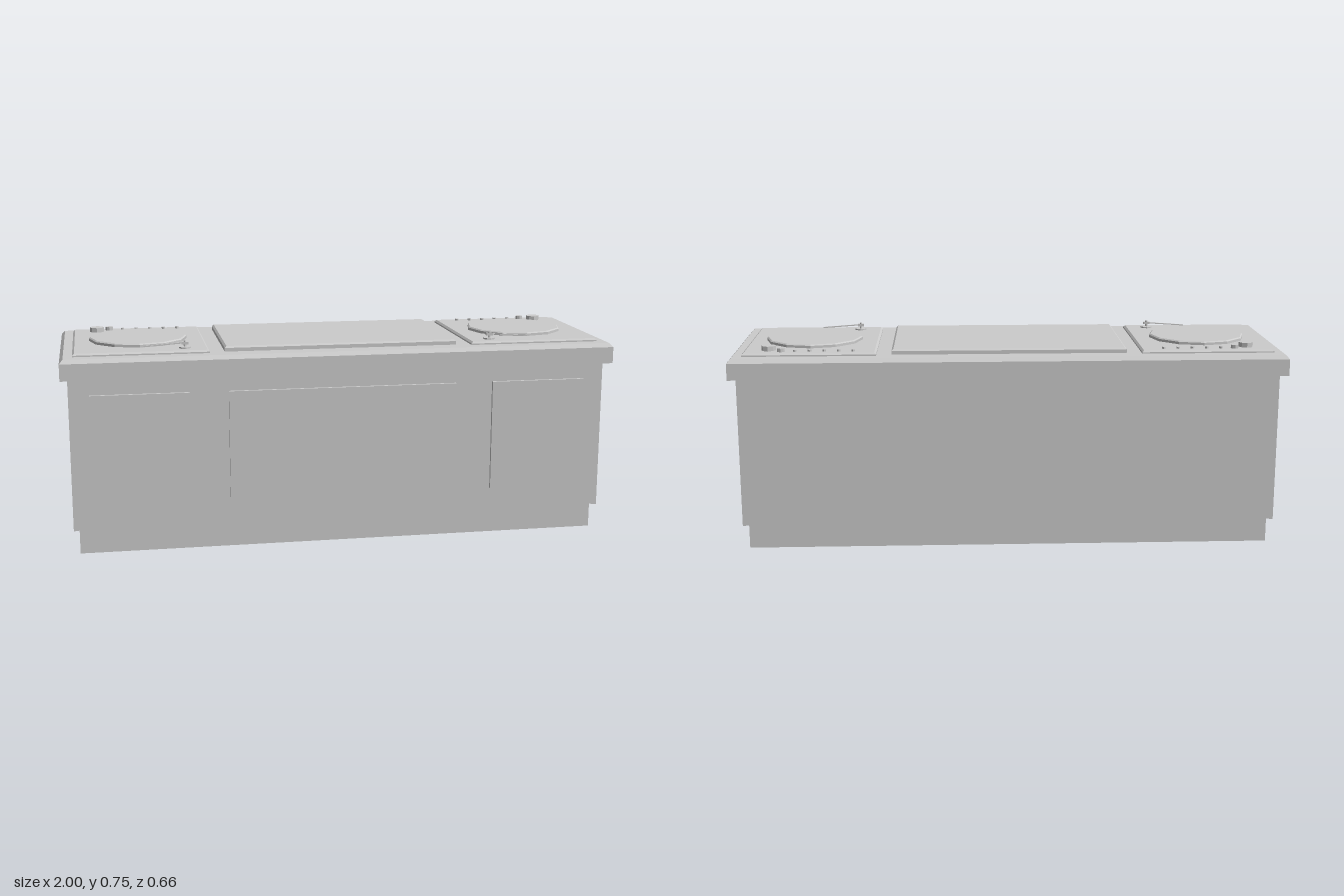
import * as THREE from 'three';

const grey = new THREE.MeshStandardMaterial({ color: 0xcccccc, flatShading: true });
const greySheet = new THREE.MeshStandardMaterial({ color: 0xcccccc, flatShading: true, side: THREE.DoubleSide });

// Skin between rings of [x, y, z] points, listed bottom to top, anticlockwise from above
function loft(rings, capped) {
  const n = rings[0].length;
  const index = [];
  for (let r = 0; r < rings.length - 1; r++) {
    for (let i = 0; i < n; i++) {
      const a = r * n + i, b = r * n + (i + 1) % n;
      index.push(a, b, b + n, a, b + n, a + n);
    }
  }
  if (capped) {
    const top = (rings.length - 1) * n;
    for (let i = 1; i < n - 1; i++) index.push(0, i + 1, i, top, top + i, top + i + 1);
  }
  const indexed = new THREE.BufferGeometry();
  indexed.setAttribute('position', new THREE.Float32BufferAttribute(rings.flat(2), 3));
  indexed.setIndex(index);
  const geometry = indexed.toNonIndexed();
  geometry.computeVertexNormals();
  return geometry;
}

const rectRing = (hx, hz, y) => [[hx, y, hz], [hx, y, -hz], [-hx, y, -hz], [-hx, y, hz]];

// Rectangular slab with a chamfered top edge
function slab(hx, hz, y0, y1, chamfer, drop) {
  return loft([
    rectRing(hx, hz, y0),
    rectRing(hx, hz, y1 - drop),
    rectRing(hx - chamfer, hz - chamfer, y1),
  ], true);
}

function add(parent, name, geometry, x = 0, y = 0, z = 0, material = grey) {
  const mesh = new THREE.Mesh(geometry, material);
  mesh.name = name;
  mesh.position.set(x, y, z);
  parent.add(mesh);
  return mesh;
}

// Upright cylinder standing on height y0
function disc(parent, name, r, y0, y1, x, z, sides, rTop = r) {
  return add(parent, name, new THREE.CylinderGeometry(rTop, r, y1 - y0, sides), x, (y0 + y1) / 2, z);
}

// Hollow body with a zigzag lower edge, stepping in to a recessed plinth
function cabinetGeometry() {
  const frontEdge = [[-1, 0.09], [-0.49, 0.145], [0, 0.08], [0.49, 0.145], [1, 0.09]];
  const backEdge = [[1, 0.09], [0.49, 0.15], [0, 0.045], [-0.49, 0.15], [-1, 0.09]];
  const ring = (hx, hz, height) => [
    ...frontEdge.map(([u, y]) => [u * hx, height ?? y, hz]),
    ...backEdge.map(([u, y]) => [u * hx, height ?? y, -hz]),
  ];
  return loft([
    ring(0.955, 0.272, 0),
    ring(0.955, 0.272),
    ring(0.975, 0.292),
    ring(0.975, 0.292, 0.645),
  ], false);
}

// One turntable, laid out for the +x side; side = -1 mirrors it
function turntable(side) {
  const group = new THREE.Group();
  group.name = side > 0 ? 'leftTurntable' : 'rightTurntable';
  const deckY = 0.725;

  const deck = add(group, 'deck', slab(0.239, 0.272, 0.71, deckY, 0.007, 0.006));
  deck.position.x = side * 0.716;

  // Twelve-sided platter with a narrow bevel
  const px = side * 0.718;
  disc(group, 'platter', 0.178, 0.72, 0.734, px, 0, 12);
  disc(group, 'platterBevel', 0.178, 0.734, 0.738, px, 0, 12, 0.173);

  // Tonearm: round base, post, head and a thin arm
  const ax = side * 0.56, az = 0.213;
  disc(group, 'armBase', 0.022, 0.722, 0.73, ax, az, 10);
  disc(group, 'armPost', 0.005, 0.728, 0.752, ax, az, 6);
  add(group, 'armHead', new THREE.BoxGeometry(0.024, 0.009, 0.013), ax, 0.743, az);
  const arm = add(group, 'arm', new THREE.BoxGeometry(0.152, 0.004, 0.005), side * 0.63, 0.739, az);
  arm.rotation.z = -side * 0.07;

  // Knobs and the row of buttons along the back
  disc(group, 'largeKnob', 0.026, 0.722, 0.742, side * 0.865, -0.205, 8);
  disc(group, 'smallKnob', 0.014, 0.722, 0.738, side * 0.818, -0.235, 8);
  for (let i = 0; i < 5; i++) {
    disc(group, 'button', 0.007, 0.722, 0.732, side * (0.768 - i * 0.052), -0.235, 6);
  }
  return group;
}

export function createModel() {
  const model = new THREE.Group();
  model.name = 'djBooth';

  add(model, 'cabinet', cabinetGeometry(), 0, 0, 0, greySheet);
  add(model, 'countertop', slab(1, 0.328, 0.64, 0.714, 0.013, 0.014));
  add(model, 'centreConsole', slab(0.423, 0.253, 0.71, 0.733, 0.007, 0.006));

  // Raised panels on the front
  add(model, 'centrePanel', new THREE.BoxGeometry(0.83, 0.39, 0.014), 0, 0.385, 0.296);
  for (const side of [-1, 1]) {
    add(model, 'sidePanel', new THREE.BoxGeometry(0.35, 0.403, 0.014), side * 0.727, 0.379, 0.296);
    model.add(turntable(side));
  }
  return model;
}
